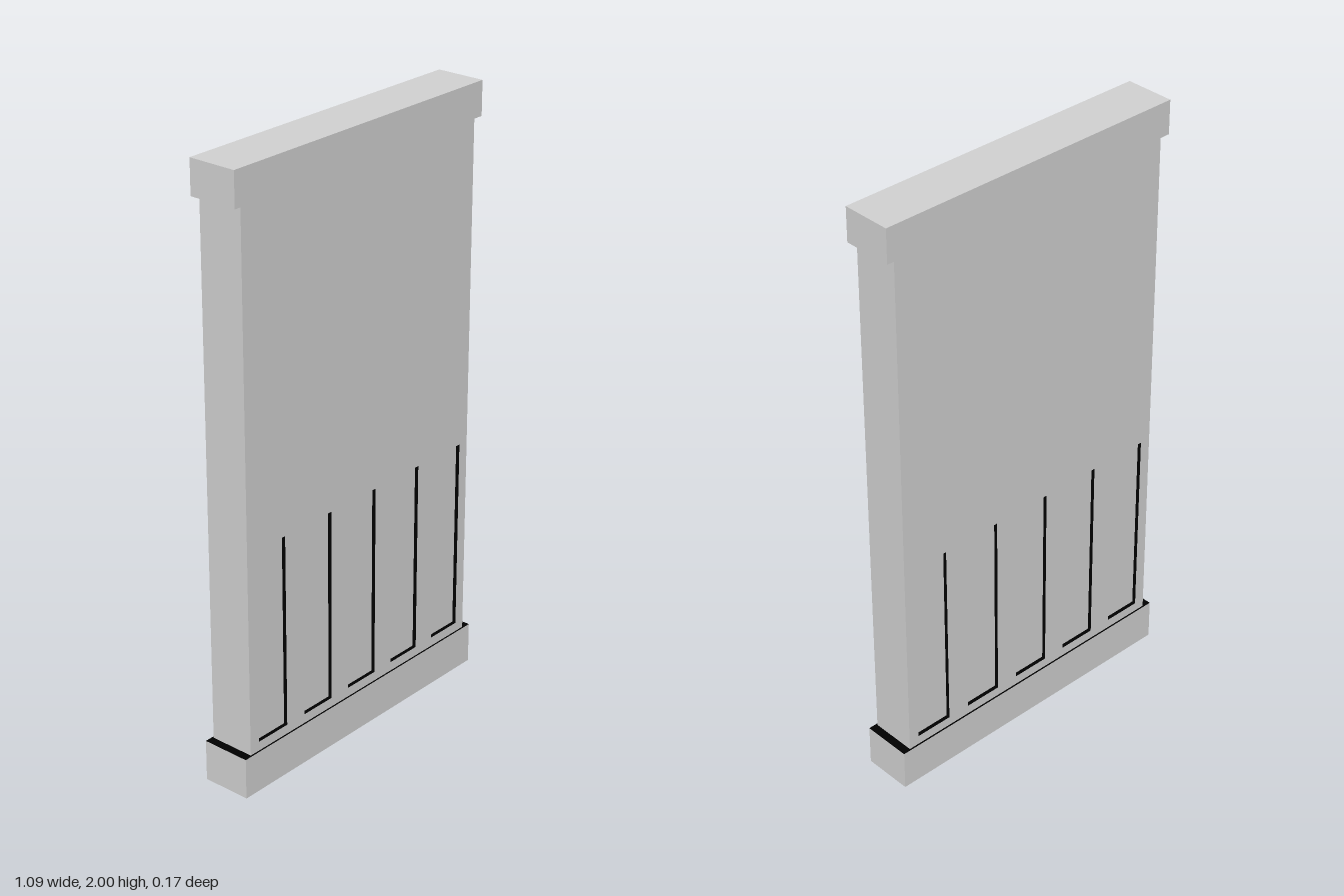
import * as THREE from 'three';

export function createModel() {
  const model = new THREE.Group();
  const stone = new THREE.MeshStandardMaterial({ color: 0xd1d1d1 });
  stone.name = 'light grey';
  const dark = new THREE.MeshStandardMaterial({ color: 0x000000 });
  dark.name = 'black';

  const add = (name, geometry, material, x, y, z) => {
    const mesh = new THREE.Mesh(geometry, material);
    mesh.name = name;
    mesh.position.set(x, y, z);
    model.add(mesh);
    return mesh;
  };

  const halfWidth = 0.515, halfDepth = 0.077, recess = 0.013;
  const baseTop = 0.137, capBottom = 1.888;

  // Wider base and cap rails, with black ledges where they meet the panel
  const rail = (name, y0, y1, ledgeFace) => {
    const faces = Array(6).fill(stone);
    faces[ledgeFace] = dark;
    add(name, new THREE.BoxGeometry(1.087, y1 - y0, 0.165), faces, 0, (y0 + y1) / 2, 0);
  };
  rail('baseRail', 0, baseTop, 2);
  rail('topRail', capBottom, 2, 3);

  // Solid core whose faces form the floors of the recesses
  const height = capBottom - baseTop;
  add('panelCore', new THREE.BoxGeometry(halfWidth * 2, height, 2 * (halfDepth - recess)),
    stone, 0, baseTop + height / 2, 0);

  const rectangle = (Type, x0, y0, x1, y1) => new Type().moveTo(x0, y0)
    .lineTo(x1, y0).lineTo(x1, y1).lineTo(x0, y1);

  // Face skin pierced by five tall slots
  const face = rectangle(THREE.Shape, -halfWidth, baseTop, halfWidth, capBottom);
  for (let i = -2; i <= 2; i++) {
    const x = i * 0.207;
    face.holes.push(rectangle(THREE.Path, x - 0.064, 0.168, x + 0.064, 0.817));
  }
  const skin = new THREE.ExtrudeGeometry(face, { depth: recess, bevelEnabled: false });

  // The four outer sides (24 vertices) stay grey; the slot walls after them are black
  const [lids, sides] = skin.groups;
  const slotStart = lids.count + 24;
  skin.clearGroups();
  skin.addGroup(0, slotStart, 0);
  skin.addGroup(slotStart, sides.count - 24, 1);

  add('frontSlottedFace', skin, [stone, dark], 0, 0, halfDepth - recess);
  add('backSlottedFace', skin, [stone, dark], 0, 0, recess - halfDepth).rotation.y = Math.PI;

  return model;
}
